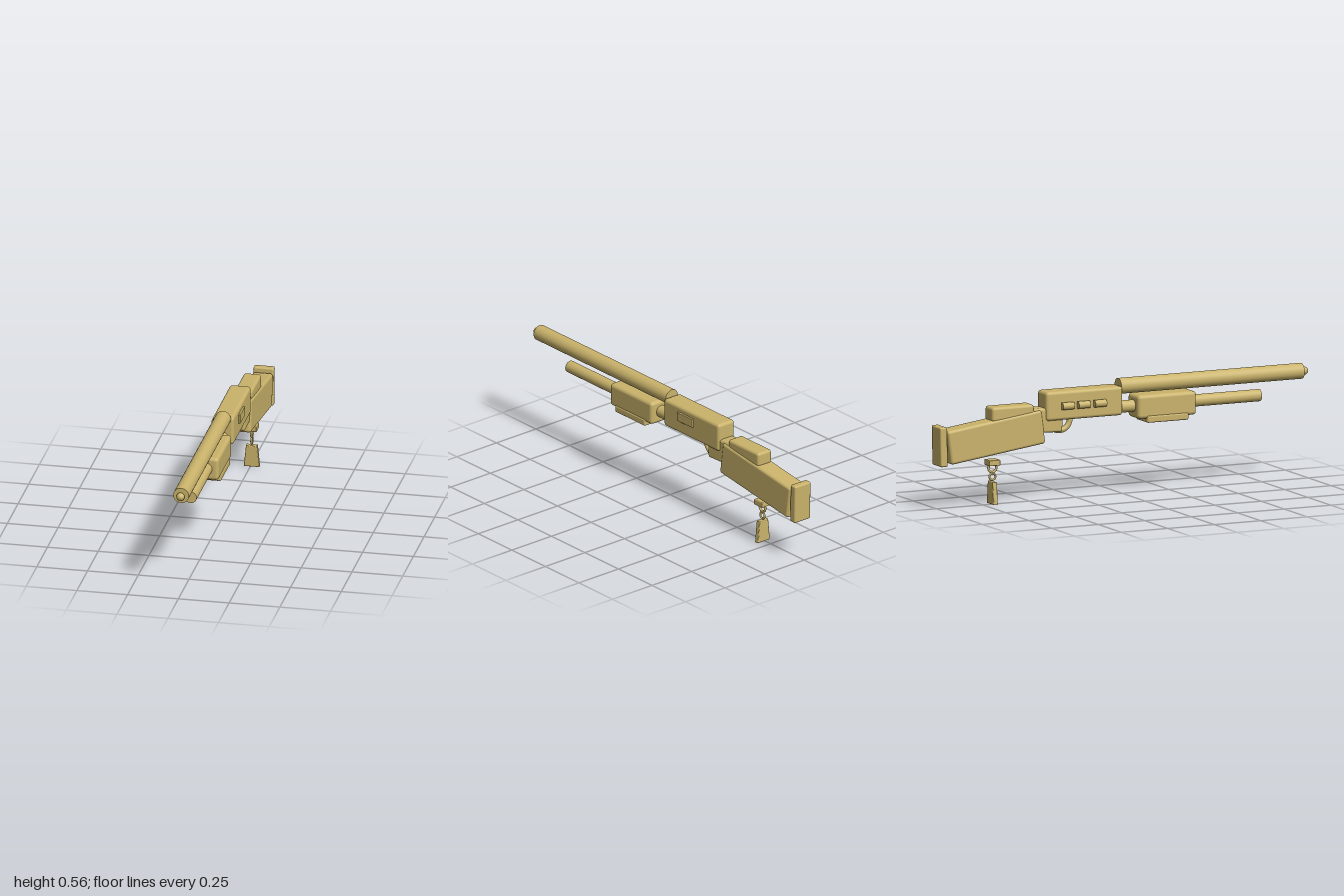
import * as THREE from 'three';
import { RoundedBoxGeometry } from 'three/addons/geometries/RoundedBoxGeometry.js';

const CX = 0.006; // mid-plane of the body

export function createModel() {
  const model = new THREE.Group();
  model.name = 'toyLongGun';
  const tan = new THREE.MeshStandardMaterial({ color: 0xcab36b });
  tan.name = 'tan';

  function add(name, geometry, x, y, z, tilt = 0) {
    const mesh = new THREE.Mesh(geometry, tan);
    mesh.name = name;
    mesh.position.set(x, y, z);
    mesh.rotation.x = tilt;
    model.add(mesh);
    return mesh;
  }
  // rounded block given by its centre height, z range and size
  function block(name, w, y0, y1, z0, z1, r, x = CX, tilt = 0) {
    const g = new RoundedBoxGeometry(w, y1 - y0, z1 - z0, 3, r);
    return add(name, g, x, (y0 + y1) / 2, (z0 + z1) / 2, tilt);
  }
  // rod running along z
  function rod(name, r, x, y, z0, z1) {
    const g = new THREE.CylinderGeometry(r, r, z1 - z0, 32).rotateX(Math.PI / 2);
    return add(name, g, x, y, (z0 + z1) / 2);
  }

  // Barrel, bead and lower tube
  rod('barrel', 0.0385, CX, 0.526, -0.02, 0.965);
  add('muzzleBead', new THREE.SphereGeometry(0.02, 24, 16), CX, 0.526, 0.98);
  rod('lowerTube', 0.0295, CX, 0.424, -0.03, 0.74);

  // Sliding grip
  block('foreGrip', 0.12, 0.364, 0.48, 0.06, 0.375, 0.018);
  block('foreGripPlate', 0.127, 0.344, 0.379, 0.108, 0.33, 0.008);

  // Receiver with side port and spare cartridges
  block('receiver', 0.104, 0.39, 0.532, -0.43, -0.018, 0.016);
  block('sidePort', 0.02, 0.457, 0.502, -0.243, -0.13, 0.003, 0.058);
  for (const z of [-0.147, -0.235, -0.32]) {
    rod('cartridge', 0.018, -0.054, 0.46, z - 0.031, z + 0.031);
  }

  // Trigger guard: lower half ring
  const guard = new THREE.TorusGeometry(0.055, 0.014, 12, 32, Math.PI)
    .rotateZ(Math.PI).rotateY(Math.PI / 2);
  add('triggerGuard', guard, CX, 0.388, -0.335);

  // Neck, stock, cheek rest and butt plate
  block('neck', 0.084, 0.333, 0.452, -0.495, -0.335, 0.012, CX, 0.04);
  block('stock', 0.1, 0.248, 0.415, -0.952, -0.44, 0.014, CX, -0.135);
  block('cheekRest', 0.086, 0.405, 0.477, -0.716, -0.49, 0.014);
  block('buttPlate', 0.1, 0.208, 0.402, -0.998, -0.96, 0.008, CX, -0.02);

  // Hanging charm: mount, two rings and a tapered tag
  const cz = -0.696;
  block('charmMount', 0.058, 0.19, 0.218, cz - 0.03, cz + 0.03, 0.004);
  for (const [R, t, y] of [[0.021, 0.006, 0.177], [0.016, 0.005, 0.134]]) {
    add('charmRing', new THREE.TorusGeometry(R, t, 10, 28).rotateY(Math.PI / 2), CX, y, cz);
  }
  const b = 0.004;
  const outline = new THREE.Shape([
    new THREE.Vector2(-0.038 + b, b), new THREE.Vector2(0.038 - b, b),
    new THREE.Vector2(0.028 - b, 0.11 - b), new THREE.Vector2(-0.028 + b, 0.11 - b),
  ]);
  const tag = new THREE.ExtrudeGeometry(outline, {
    depth: 0.016, bevelEnabled: true, bevelSize: b, bevelThickness: b, bevelSegments: 3,
  }).translate(0, 0, -0.008);
  add('charmTag', tag, CX, 0, cz);

  return model;
}
